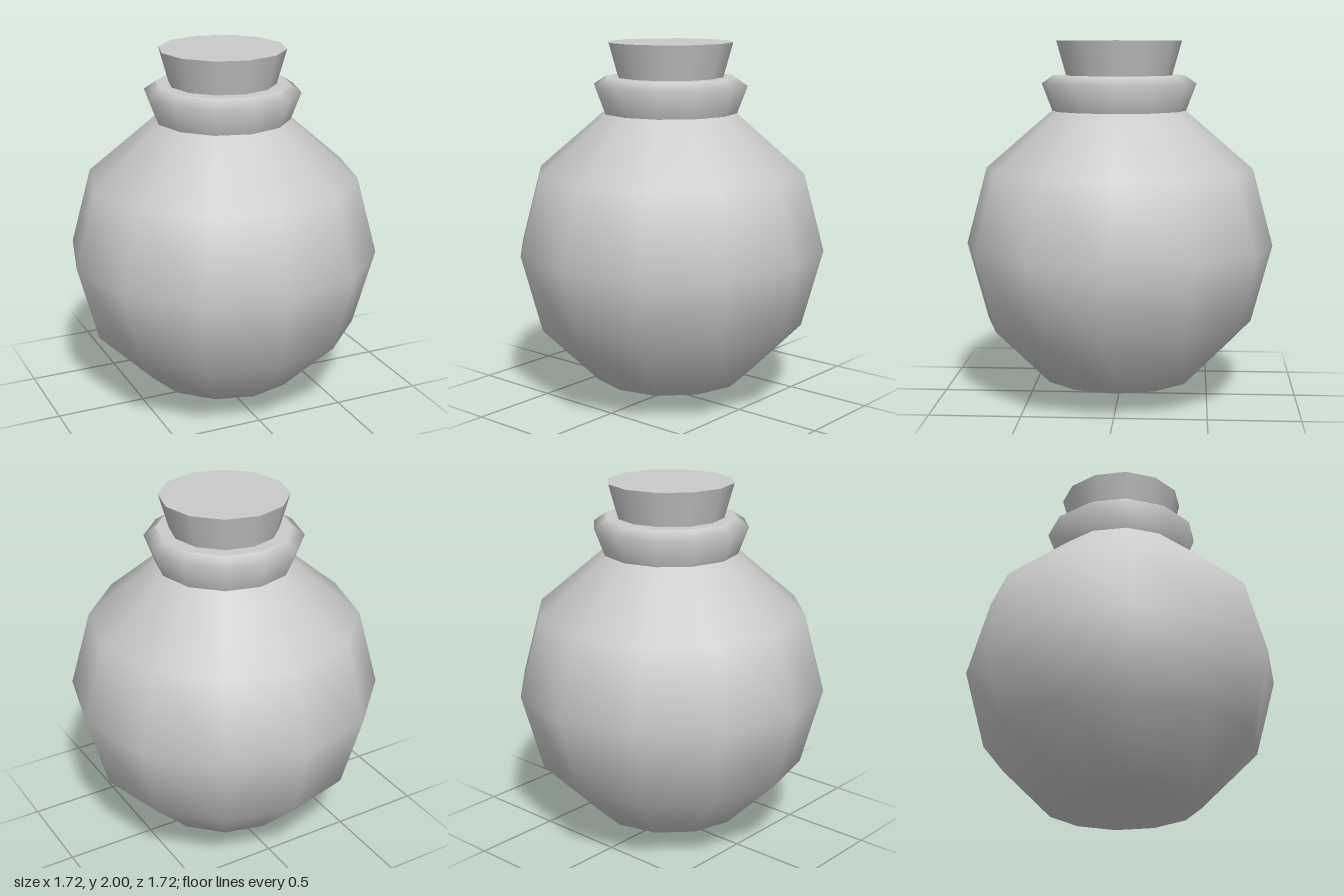
import * as THREE from 'three';

const SIDES = 12;
const material = new THREE.MeshStandardMaterial({ color: 0xcccccc });

// Turn a profile of [radius, height] pairs, listed bottom to top
function turned(name, profile) {
  const points = profile.map(([r, y]) => new THREE.Vector2(r, y));
  const mesh = new THREE.Mesh(new THREE.LatheGeometry(points, SIDES), material);
  mesh.name = name;
  return mesh;
}

export function createModel() {
  const flask = new THREE.Group();
  flask.name = 'corkedFlask';

  // Round body: sphere rings every 30 degrees, narrowed at the neck
  const R = 0.862;
  const profile = [];
  for (let i = 0; i <= 4; i++) {
    const a = (i * Math.PI) / 6;
    profile.push([R * Math.sin(a), R * (1 - Math.cos(a))]);
  }
  profile.push([0.373, 1.615]);
  flask.add(turned('body', profile));

  // Flared lip with its flat rim
  const lip = new THREE.Group();
  lip.name = 'lip';
  lip.add(turned('lipSide', [[0.373, 1.615], [0.43, 1.765], [0.365, 1.81]]));
  lip.add(turned('lipRim', [[0.365, 1.81], [0.27, 1.81]]));
  flask.add(lip);

  // Tapered stopper
  const stopper = new THREE.Mesh(
    new THREE.CylinderGeometry(0.348, 0.292, 0.2, SIDES), material);
  stopper.name = 'stopper';
  stopper.position.y = 1.9;
  flask.add(stopper);

  return flask;
}
